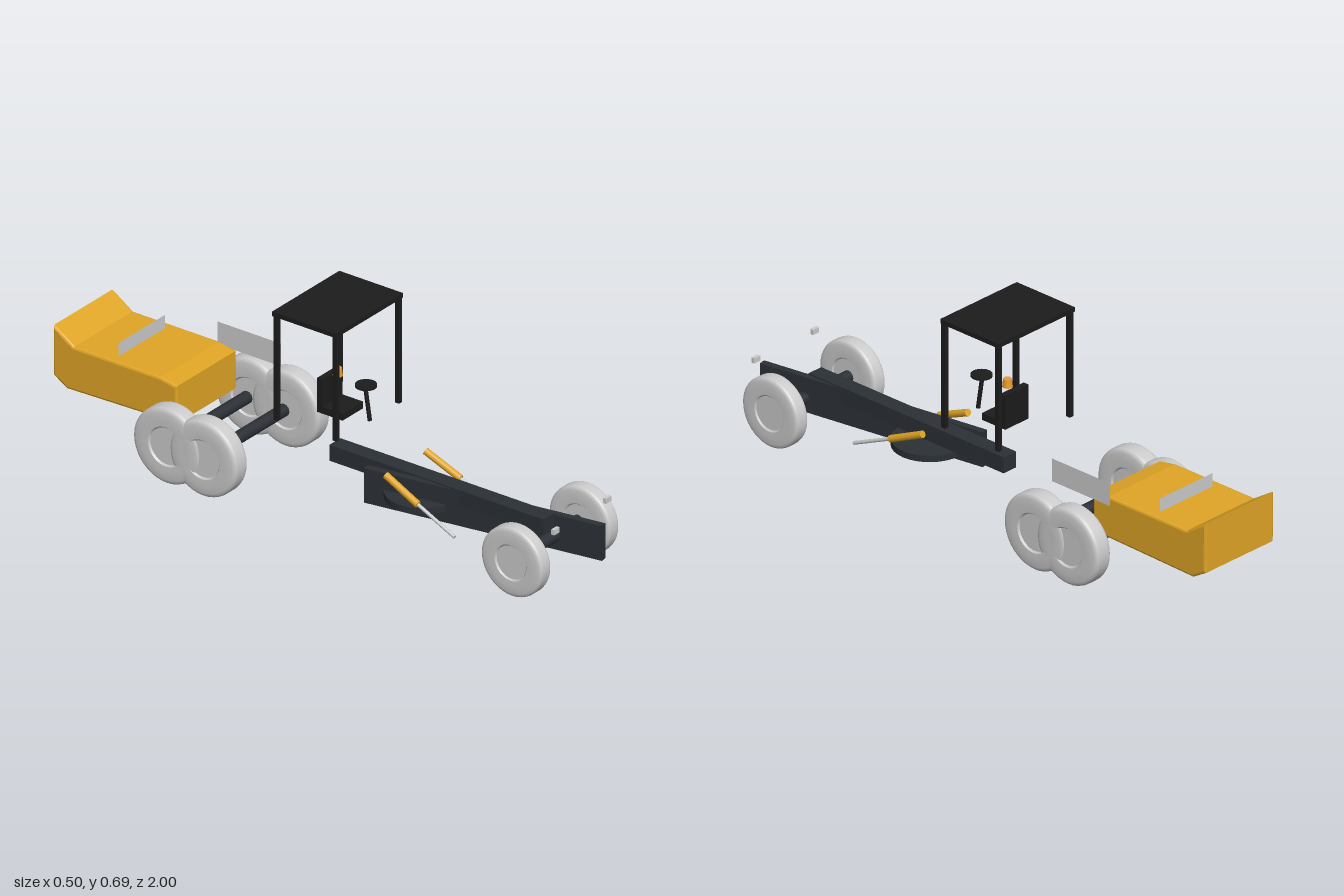
import * as THREE from 'three';

const mat = (color, side = THREE.FrontSide) => new THREE.MeshStandardMaterial({ color, side });

export function createModel() {
  const model = new THREE.Group();
  const yellow = mat(0xe0a526), steel = mat(0x2b3036), black = mat(0x1c1c1c);
  const grey = mat(0xcccccc), amber = mat(0xe69b30), panelGrey = mat(0xcccccc, THREE.DoubleSide);

  const add = (name, geometry, material, x = 0, y = 0, z = 0) => {
    const mesh = new THREE.Mesh(geometry, material);
    mesh.name = name;
    mesh.position.set(x, y, z);
    model.add(mesh);
    return mesh;
  };
  const box = (name, material, w, h, d, x, y, z) =>
    add(name, new THREE.BoxGeometry(w, h, d), material, x, y, z);

  // Cylinder running between two points
  const rod = (name, material, radius, from, to) => {
    const a = new THREE.Vector3(...from), b = new THREE.Vector3(...to);
    const dir = b.clone().sub(a);
    const mesh = add(name, new THREE.CylinderGeometry(radius, radius, dir.length(), 16), material);
    mesh.position.copy(a).add(b).multiplyScalar(0.5);
    mesh.quaternion.setFromUnitVectors(new THREE.Vector3(0, 1, 0), dir.normalize());
    return mesh;
  };

  // Tyre with rounded shoulders and a slightly dished hub on both faces
  const wheelGeometry = (R, width) => {
    const h = width / 2;
    const half = [
      [0, 0.8], [0.48, 0.8], [0.48, 0.8], [0.52, 0.97], [0.52, 0.97],
      [0.7, 1], [0.88, 0.95], [0.95, 0.86], [0.985, 0.72], [1, 0.5],
    ];
    const lower = half.map(([r, y]) => new THREE.Vector2(r * R, -y * h));
    const upper = half.map(([r, y]) => new THREE.Vector2(r * R, y * h)).reverse();
    return new THREE.LatheGeometry([...lower, ...upper], 40).rotateZ(Math.PI / 2);
  };

  // Wheels
  const frontWheel = wheelGeometry(0.12, 0.059);
  const rearWheel = wheelGeometry(0.132, 0.072);
  for (const s of [-1, 1]) {
    add('frontWheel', frontWheel, grey, s * 0.176, 0.122, 0.835);
    for (const z of [-0.345, -0.488]) add('rearWheel', rearWheel, grey, s * 0.213, 0.134, z);
  }

  // Axles
  rod('frontAxle', steel, 0.021, [-0.16, 0.122, 0.83], [0.16, 0.122, 0.83]);
  for (const z of [-0.35, -0.495]) rod('rearAxle', steel, 0.021, [-0.19, 0.13, z], [0.19, 0.13, z]);

  // Engine body: side profile (z, y) extruded across the width
  const bevel = 0.008, bodyWidth = 0.312;
  const profile = new THREE.Shape([
    [-0.515, 0.168], [-0.515, 0.3], [-0.58, 0.312], [-0.92, 0.312],
    [-1, 0.364], [-1, 0.19], [-0.945, 0.157],
  ].map(([z, y]) => new THREE.Vector2(z, y)));
  const body = new THREE.ExtrudeGeometry(profile, {
    depth: bodyWidth - 2 * bevel, bevelEnabled: true, bevelSize: bevel,
    bevelThickness: bevel, bevelOffset: -bevel, bevelSegments: 2,
  });
  body.rotateY(-Math.PI / 2).translate(bodyWidth / 2 - bevel, 0, 0);
  add('engineBody', body, yellow);

  // Thin grille panels
  add('sidePanel', new THREE.PlaneGeometry(0.25, 0.08), panelGrey, 0.168, 0.33, -0.475).rotation.y = Math.PI / 2;
  add('topPanel', new THREE.PlaneGeometry(0.24, 0.08), panelGrey, 0, 0.319, -0.77);

  // Main beam, angled blade and turntable
  box('mainBeam', steel, 0.057, 0.056, 0.84, 0, 0.173, 0.41);
  box('blade', steel, 0.024, 0.122, 0.844, -0.002, 0.135, 0.58).rotation.y = 0.16;
  add('turntable', new THREE.CylinderGeometry(0.123, 0.123, 0.022, 32), steel, 0, 0.126, 0.335);

  // Blade lift cylinders
  for (const s of [-1, 1]) {
    rod('liftCylinder', yellow, 0.012, [s * 0.103, 0.212, 0.268], [s * 0.111, 0.153, 0.4]);
    rod('liftRod', grey, 0.006, [s * 0.111, 0.153, 0.4], [s * 0.118, 0.088, 0.55]);
  }

  // Canopy
  box('canopyRoof', black, 0.348, 0.016, 0.25, 0, 0.687, 0);
  for (const x of [-0.162, 0.162])
    for (const z of [-0.115, 0.117]) box('canopyPost', black, 0.016, 0.367, 0.016, x, 0.496, z);

  // Seat and beacon
  box('seatBase', black, 0.106, 0.024, 0.1, 0, 0.33, 0.01);
  box('seatBack', black, 0.106, 0.11, 0.02, 0, 0.383, -0.03);
  add('beacon', new THREE.CylinderGeometry(0.014, 0.017, 0.028, 20), amber, 0, 0.451, 0);

  // Steering
  rod('steeringColumn', black, 0.007, [0, 0.318, 0.127], [0, 0.438, 0.108]);
  add('steeringWheel', new THREE.CylinderGeometry(0.035, 0.035, 0.007, 24), black, 0, 0.438, 0.112);

  // Front lamps
  for (const s of [-1, 1]) box('frontLamp', grey, 0.028, 0.018, 0.012, s * 0.134, 0.245, 0.958);

  return model;
}
